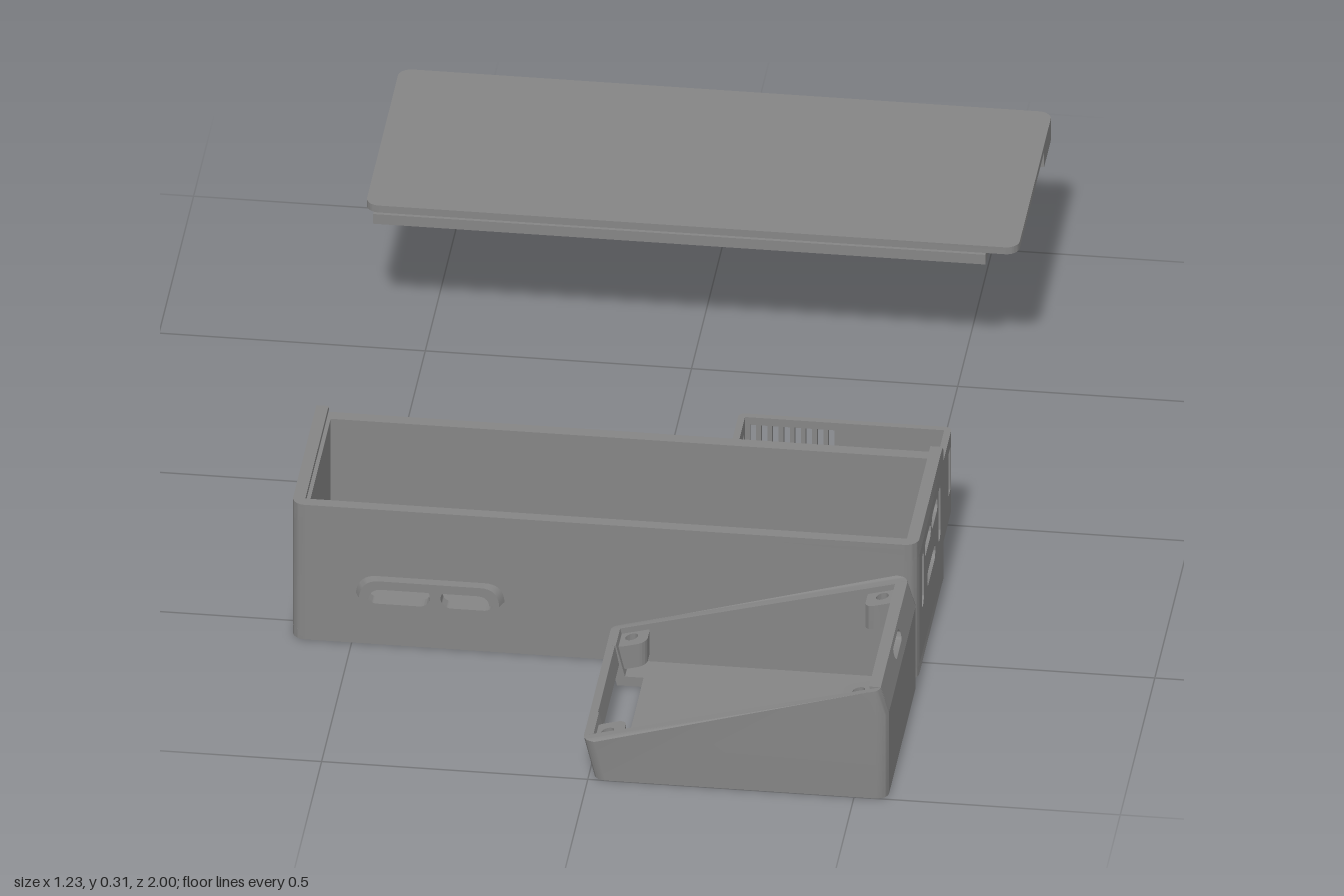
import * as THREE from 'three';
import { toCreasedNormals } from 'three/addons/utils/BufferGeometryUtils.js';

const material = new THREE.MeshStandardMaterial({ color: 0x858585 });

function add(parent, name, geometry) {
  const mesh = new THREE.Mesh(toCreasedNormals(geometry, 0.6), material);
  mesh.name = name;
  parent.add(mesh);
  return mesh;
}
const poly = (pts) => new THREE.Shape(pts.map((p) => new THREE.Vector2(...p)));

// Rounded rectangle from corner to corner
function roundRect(x0, y0, x1, y1, r = 0) {
  if (!r) return poly([[x0, y0], [x1, y0], [x1, y1], [x0, y1]]);
  const s = new THREE.Shape();
  s.absarc(x1 - r, y0 + r, r, -Math.PI / 2, 0);
  s.absarc(x1 - r, y1 - r, r, 0, Math.PI / 2);
  s.absarc(x0 + r, y1 - r, r, Math.PI / 2, Math.PI);
  s.absarc(x0 + r, y0 + r, r, Math.PI, Math.PI * 1.5);
  return s;
}
// Slot with fully rounded ends
const slot = (x0, y0, x1, y1) => roundRect(x0, y0, x1, y1, Math.min(x1 - x0, y1 - y0) * 0.499);

function extrude(shape, depth, holes = [], steps = 1) {
  shape.holes.push(...holes);
  return new THREE.ExtrudeGeometry(shape, { depth, steps, bevelEnabled: false, curveSegments: 8 });
}
// Panels: shape drawn in (x,y) from z0 to z1, in (z,y) from x0 to x1, in (x,z) from y0 to y1
const panelXY = (shape, z0, z1, holes, steps) => extrude(shape, z1 - z0, holes, steps).translate(0, 0, z0);
const panelZY = (shape, x0, x1, holes) => extrude(shape, x1 - x0, holes).rotateY(-Math.PI / 2).translate(x1, 0, 0);
const panelXZ = (shape, y0, y1, holes) => extrude(shape, y1 - y0, holes).rotateX(Math.PI / 2).translate(0, y1, 0);

// Main case: x0..x1, z0..z1, walls t thick
const X0 = -0.613, X1 = 0.563, Z0 = 0.165, Z1 = 0.565, T = 0.025, H = 0.256;

function mainCase() {
  const g = new THREE.Group();
  g.name = 'mainCase';
  add(g, 'floor', panelXZ(roundRect(X0, Z0, X1, Z1, T), 0, 0.02));

  // Front wall with two oblong openings under a hood
  add(g, 'frontWall', panelXY(roundRect(X0 + T, 0, X1 - T, H), Z1 - T, Z1,
    [slot(-0.473, 0.088, -0.353, 0.128), slot(-0.333, 0.088, -0.232, 0.128)]));
  add(g, 'backWall', panelXY(roundRect(X0 + T, 0, X1 - T, H), Z0, Z0 + T));
  add(g, 'rightWall', panelZY(roundRect(Z0 + T, 0, Z1 - T, H), X0, X0 + T));
  // Vented end wall
  add(g, 'ventWall', panelZY(roundRect(Z0 + T, 0, Z1 - T, H), X1 - T, X1, [
    slot(0.474, 0.116, 0.504, 0.233), slot(0.233, 0.116, 0.265, 0.233),
    slot(0.372, 0.202, 0.462, 0.232), slot(0.276, 0.202, 0.362, 0.232),
    slot(0.308, 0.116, 0.426, 0.148)]));

  // Rounded corners
  [[X1 - T, Z1 - T, 0], [X1 - T, Z0 + T, 1], [X0 + T, Z0 + T, 2], [X0 + T, Z1 - T, 3]].forEach(([x, z, q]) =>
    add(g, 'corner', new THREE.CylinderGeometry(T, T, H, 8, 1, false, q * Math.PI / 2, Math.PI / 2)
      .translate(x, H / 2, z)));

  // Rim open at the back, grooved inside for the sliding lid, its ends stepped round at the top
  [[H, 0.281, 0.012, 0.194], [0.281, 0.287, 0.023, 0.197], [0.287, 0.292, 0.023, 0.204]].forEach(([y0, y1, t, z]) => {
    const s = new THREE.Shape();
    s.moveTo(X0, z);
    s.lineTo(X0 + t, z);
    s.lineTo(X0 + t, Z1 - t);
    s.lineTo(X1 - t, Z1 - t);
    s.lineTo(X1 - t, z);
    s.lineTo(X1, z);
    s.absarc(X1 - T, Z1 - T, T, 0, Math.PI / 2);
    s.absarc(X0 + T, Z1 - T, T, Math.PI / 2, Math.PI);
    s.closePath();
    add(g, 'lidGroove', panelXZ(s, y0, y1));
  });

  // Hood over the front openings, tapering outwards
  const hood = new THREE.Shape();
  hood.moveTo(-0.493, 0.11);
  hood.quadraticCurveTo(-0.488, 0.148, -0.453, 0.148);
  hood.lineTo(-0.25, 0.148);
  hood.quadraticCurveTo(-0.214, 0.148, -0.212, 0.11);
  hood.lineTo(-0.232, 0.11);
  hood.quadraticCurveTo(-0.234, 0.13, -0.257, 0.13);
  hood.lineTo(-0.447, 0.13);
  hood.quadraticCurveTo(-0.47, 0.13, -0.473, 0.11);
  const hoodGeo = panelXY(hood, Z1 - 0.002, 0.584);
  const p = hoodGeo.attributes.position;
  for (let i = 0; i < p.count; i++) if (p.getZ(i) > 0.57) p.setX(i, -0.35 + (p.getX(i) + 0.35) * 0.94);
  add(g, 'hood', hoodGeo);

  // Floor posts braced by four fins
  [[-0.433, 0.23], [0.073, 0.285], [-0.137, 0.435]].forEach(([x, z]) => {
    const post = new THREE.Group();
    post.name = 'post';
    post.position.set(x, 0.02, z);
    const ring = new THREE.Shape().absarc(0, 0, 0.024, 0, Math.PI * 2);
    add(post, 'sleeve', panelXZ(ring, 0, 0.05, [new THREE.Path().absarc(0, 0, 0.012, 0, Math.PI * 2)]));
    for (let i = 0; i < 4; i++) {
      const reach = i === 1 && z < 0.25 ? 0.045 : 0.078;
      const fin = add(post, 'fin', panelXY(poly([[0.02, 0], [reach, 0], [0.02, 0.045]]), -0.006, 0.006));
      fin.rotation.y = i * Math.PI / 2;
    }
    g.add(post);
  });
  return g;
}

// Small open housing on the back with a grille
function backHousing() {
  const g = new THREE.Group();
  g.name = 'backHousing';
  const x0 = 0.163, x1 = X1, z0 = 0.068, y0 = 0.079, y1 = 0.254, t = 0.013;
  add(g, 'housingFloor', panelXZ(roundRect(x0 + t, z0 + t, x1 - t, Z0 + 0.002), y0, y0 + t,
    [roundRect(0.352, 0.082, 0.368, 0.153)]));
  const holes = [new THREE.Path().absarc(0.4, 0.19, 0.012, 0, Math.PI * 2)];
  for (let i = 0; i < 8; i++) holes.push(roundRect(0.185 + i * 0.021, 0.1, 0.197 + i * 0.021, 0.238));
  add(g, 'grille', panelXY(roundRect(x0 + t, y0, x1 - t, y1), z0, z0 + t, holes));
  [x0, x1 - t].forEach((x) => add(g, 'housingEnd',
    panelZY(roundRect(z0 + t, y0, Z0 + T, y1), x, x + t, [roundRect(0.093, 0.133, 0.117, 0.225)])));
  [[x1 - t, 1], [x0 + t, 2]].forEach(([x, q]) => add(g, 'housingCorner',
    new THREE.CylinderGeometry(t, t, y1 - y0, 6, 1, false, q * Math.PI / 2, Math.PI / 2)
      .translate(x, (y0 + y1) / 2, z0 + t)));
  return g;
}

// Lid lying apart, with a tongue below and a skirt along the back
function lid() {
  const g = new THREE.Group();
  g.name = 'lid';
  const e = 0.613;
  add(g, 'lidPlate', panelXZ(roundRect(-e, -1, e, -0.503, T), 0.292, 0.307));
  add(g, 'lidNeck', panelXZ(roundRect(-0.588, -0.9, 0.538, -0.528), 0.279, 0.293));
  add(g, 'lidTongue', panelXZ(roundRect(-0.6, -0.9, 0.55, -0.516), 0.259, 0.28));
  const skirt = poly([[-1, 0.259], [-0.885, 0.259], [-0.88, 0.279], [-0.868, 0.293], [-1, 0.293]]);
  add(g, 'lidSkirt', panelZY(skirt, T - e, e - T));
  [-1, 1].forEach((s) => {
    const end = new THREE.Shape();
    end.moveTo(s * (e - T), -1);
    end.quadraticCurveTo(s * e, -1, s * e, T - 1);
    end.lineTo(s * e, -0.88);
    end.lineTo(s * (e - T), -0.88);
    add(g, 'skirtEnd', panelXZ(end, 0.259, 0.293));
  });
  return g;
}

// Wedge-shaped open case in front
function wedgeCase() {
  const g = new THREE.Group();
  g.name = 'wedgeCase';
  const z0 = 0.572, z1 = 1, t = 0.022;
  const slope = (x) => 0.082 + 0.264 * (x + 0.01);
  const profile = () => poly([[0.01, 0], [X1, 0], [X1, 0.177], [0.547, 0.229], [-0.01, 0.082]]);

  // Side walls, with the ends pulled in to round the vertical corners
  [[z0, 1], [z1 - t, -1]].forEach(([z, dir]) => {
    const geo = panelXY(profile(), z, z + t, [], 6);
    const p = geo.attributes.position;
    for (let i = 0; i < p.count; i++) {
      const d = dir > 0 ? p.getZ(i) - z0 : z1 - p.getZ(i);
      const pull = t - Math.sqrt(Math.max(0, t * t - (t - d) ** 2));
      p.setX(i, p.getX(i) + (p.getX(i) < 0.28 ? pull : -pull));
    }
    geo.computeVertexNormals();
    add(g, 'wedgeSide', geo);
  });

  // Low end wall, cut away underneath in the middle
  const low = [[0.01, 0], [0.03, 0], [0.008, 0.087], [-0.01, 0.082]];
  add(g, 'lowWall', panelXY(poly(low), z0 + t, 0.655));
  add(g, 'lowWall', panelXY(poly(low), 0.9, z1 - t));
  add(g, 'lowLip', panelXY(poly([[-0.001, 0.045], [0.014, 0.045], [0.006, 0.086], [-0.01, 0.082]]), 0.655, 0.9));

  // High end wall, its top leaning inwards with a small slot
  add(g, 'highWall', panelZY(roundRect(z0 + t, 0, z1 - t, 0.177), X1 - t, X1));
  const lean = panelZY(roundRect(z0 + t, 0.177, z1 - t, 0.229), X1 - t, X1, [slot(0.742, 0.197, 0.828, 0.22)]);
  const q = lean.attributes.position;
  for (let i = 0; i < q.count; i++) q.setX(i, q.getX(i) - (q.getY(i) - 0.177) * 0.3);
  lean.computeVertexNormals();
  add(g, 'slottedTop', lean);

  // Floor with an opening at the low end
  add(g, 'wedgeFloor', panelXZ(poly([[0.01, z0 + t], [0.542, z0 + t], [0.542, z1 - t], [0.01, z1 - t],
    [0.01, 0.9], [0.06, 0.9], [0.06, 0.655], [0.01, 0.655]]), 0, 0.02));

  // Short screw bosses filling the corners, cut to the slope
  [0.032, 0.503].forEach((x) => [0.612, 0.956].forEach((z) => {
    const ring = roundRect(x - 0.03, z - 0.031, x + 0.032, z + 0.031, 0.018);
    const geo = panelXZ(ring, 0, 1, [new THREE.Path().absarc(x, z, 0.012, 0, Math.PI * 2)]);
    const p = geo.attributes.position;
    for (let i = 0; i < p.count; i++) {
      const top = slope(p.getX(i)) - 0.012;
      p.setY(i, p.getY(i) > 0.5 ? top : Math.max(0.02, top - 0.05));
    }
    geo.computeVertexNormals();
    add(g, 'screwBoss', geo);
  }));
  return g;
}

export function createModel() {
  const model = new THREE.Group();
  model.name = 'enclosureSet';
  model.add(mainCase(), backHousing(), lid(), wedgeCase());
  return model;
}
